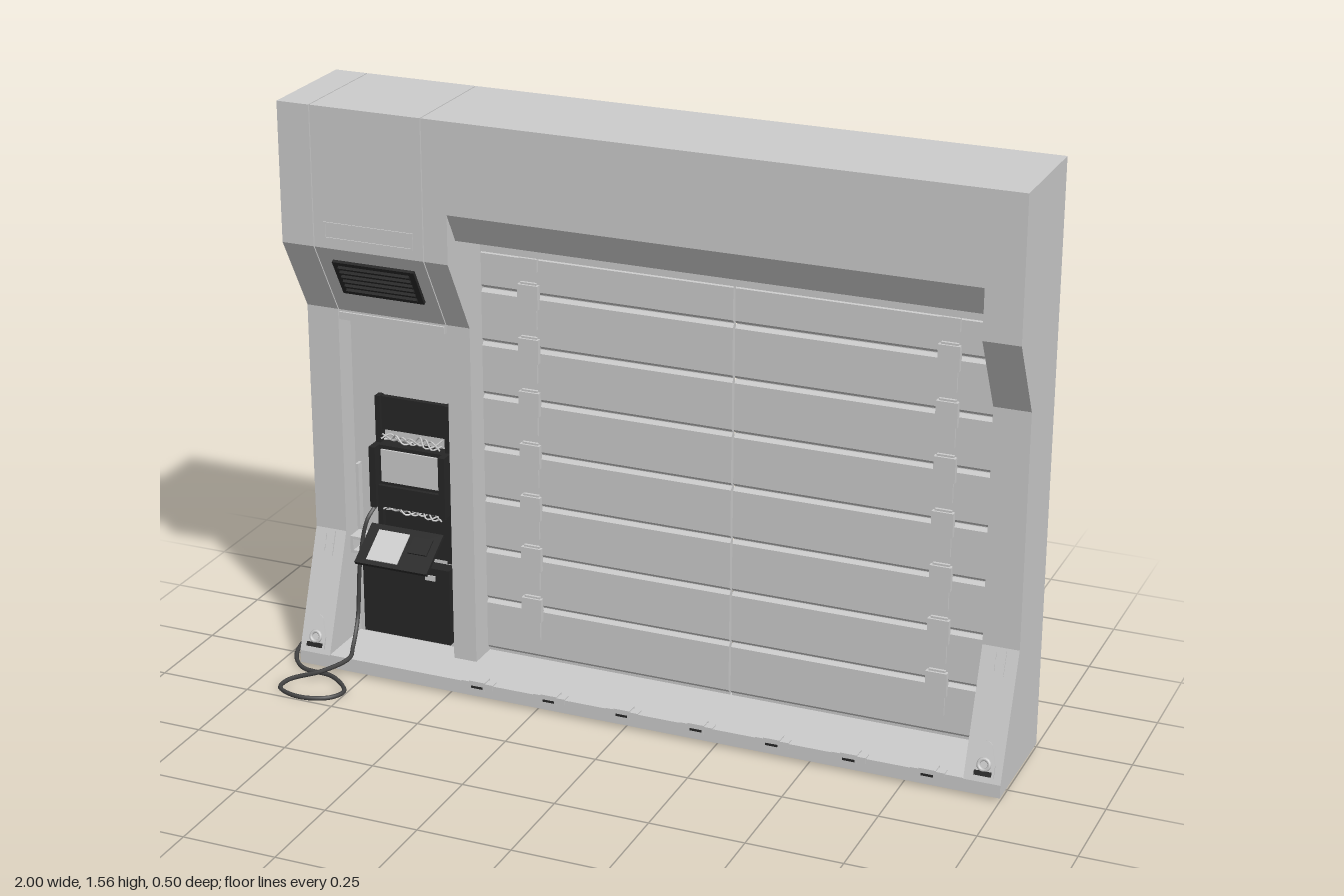
import * as THREE from 'three';

const grey = new THREE.MeshStandardMaterial({ color: 0xcccccc, flatShading: true });
const dark = new THREE.MeshStandardMaterial({ color: 0x262626, flatShading: true });
const smooth = new THREE.MeshStandardMaterial({ color: 0xcccccc });
const darkSmooth = new THREE.MeshStandardMaterial({ color: 0x444444 });

export function createModel() {
  const root = new THREE.Group();

  const add = (name, geometry, material = grey, parent = root) => {
    const mesh = new THREE.Mesh(geometry, material);
    mesh.name = name;
    parent.add(mesh);
    return mesh;
  };
  // Box given by its limits on each axis
  const box = (name, x0, x1, y0, y1, z0, z1, material = grey, parent = root) => {
    const m = add(name, new THREE.BoxGeometry(x1 - x0, y1 - y0, z1 - z0), material, parent);
    m.position.set((x0 + x1) / 2, (y0 + y1) / 2, (z0 + z1) / 2);
    return m;
  };
  // Side profile of [z, y] points extruded from x0 to x1
  const profile = (name, pts, x0, x1, material = grey, parent = root) => {
    const shape = new THREE.Shape(pts.map(p => new THREE.Vector2(...p)));
    const geo = new THREE.ExtrudeGeometry(shape, { depth: x1 - x0, bevelEnabled: false });
    geo.rotateY(-Math.PI / 2).translate(x1, 0, 0);
    return add(name, geo, material, parent);
  };
  const tube = (name, pts, r, material, segments = 40, parent = root) => {
    const curve = new THREE.CatmullRomCurve3(pts.map(p => new THREE.Vector3(...p)));
    return add(name, new THREE.TubeGeometry(curve, segments, r, 6), material, parent);
  };
  const group = (name, x, y, z, tilt = 0) => {
    const g = new THREE.Group();
    g.name = name;
    g.position.set(x, y, z);
    g.rotation.x = tilt;
    root.add(g);
    return g;
  };

  const back = -0.25, front = 0.065, mid = -0.05;
  const crown = [[front, 1.56], [front, 1.19], [mid, 0.985]];

  // Outer columns with the flared feet
  const column = [[back, 1.56], [back, 0.01], [front, 0.01], [front, 0.045], [mid, 0.36], [mid, 0.985], [front, 1.19], [front, 1.56]];
  profile('outerColumn', column, -0.94, -0.851);
  profile('outerColumn', column, 0.905, 1.0);

  // Inner column, terminal head and wall, lintel, sill
  profile('innerColumn', [[back, 1.56], [back, 0.045], [mid, 0.045], [mid, 0.985], [front, 1.19], [front, 1.56]], -0.54, -0.475);
  profile('terminalHead', [[back, 1.56], [back, 0.982], [-0.1, 0.982], [-0.1, 0.96], [mid, 0.96], ...crown.slice().reverse()], -0.848, -0.543);
  box('terminalLedge', -0.845, -0.545, 0.96, 0.98, -0.06, -0.044);
  box('terminalWall', -0.848, -0.543, 0.045, 0.978, back, -0.11);
  box('seamFiller', -0.86, -0.53, 0.03, 1.55, -0.24, -0.12);
  profile('lintel', [[back, 1.56], [back, 1.21], [-0.145, 1.21], [-0.145, 1.17], [-0.12, 1.17], [-0.12, 1.2],
    [-0.1, 1.205], [0.02, 1.24], [front, 1.32], [front, 1.56]], -0.475, 0.905);
  box('sill', -0.851, 0.905, 0.01, 0.047, back, front);

  // Double door built of bevelled slats over thin backing sheets
  const pitch = 0.145, leaves = [[-0.475, 0.212], [0.218, 0.905]];
  for (const [x0, x1] of leaves) {
    box('doorBacking', x0, x1, 0.047, 1.19, -0.142, -0.134);
    for (let i = 0; i < 8; i++) {
      const y0 = 0.055 + i * pitch, y1 = Math.min(y0 + pitch, 1.175);
      profile('doorSlat', [[-0.134, y0 + 0.002], [-0.129, y0 + 0.002], [-0.122, y0 + 0.01], [-0.122, y1 - 0.01],
        [-0.129, y1 - 0.002], [-0.134, y1 - 0.002]], x0, x1);
      // Perforated seam on the rear of the door
      const n = 16, step = (x1 - x0) / n;
      if (i > 0) for (let k = 0; k < n; k++) {
        box('seamStitch', x0 + k * step + 0.008, x0 + (k + 1) * step - 0.008, y0 - 0.002, y0 + 0.002, -0.143, -0.14, darkSmooth);
      }
    }
  }

  // Hinge plates bridging the slats
  for (const x of [-0.34, 0.772]) {
    for (let i = 0; i < 7; i++) {
      const y = 0.185 + i * pitch;
      box('hingePlate', x - 0.022, x + 0.022, y - 0.075, y + 0.05, -0.125, -0.114);
      box('hingeKnuckle', x - 0.028, x + 0.028, y - 0.02, y + 0.045, -0.125, -0.108);
    }
    box('hingePlate', x - 0.025, x + 0.025, 1.135, 1.17, -0.125, -0.112);
  }

  // Floor latches along the sill edge
  for (let i = 0; i < 7; i++) {
    const g = group('sillLatch', -0.417 + i * 0.205, 0.04, 0.055);
    box('latchBody', -0.022, 0.022, -0.012, 0.013, -0.02, 0.013, grey, g);
    for (const s of [-1, 1]) box('latchEar', s * 0.033 - 0.012, s * 0.033 + 0.012, -0.006, 0.01, -0.012, 0.012, grey, g);
    box('latchSlot', -0.016, 0.016, -0.006, 0.0, 0.01, 0.0145, dark, g);
  }

  // Anchor and slot fittings on the sloped feet
  const footTilt = -Math.atan2(0.115, 0.315);
  const slopeZ = y => front - (y - 0.045) * 0.115 / 0.315;
  for (const x of [-0.897, 0.953]) {
    const slot = group('footSlot', x, 0.325, slopeZ(0.325), footTilt);
    const plate = new THREE.Shape([[-0.016, -0.033], [0.016, -0.033], [0.016, 0.033], [-0.016, 0.033]].map(p => new THREE.Vector2(...p)));
    plate.holes.push(new THREE.Path([[-0.009, -0.024], [-0.009, 0.024], [0.009, 0.024], [0.009, -0.024]].map(p => new THREE.Vector2(...p))));
    add('slotFrame', new THREE.ExtrudeGeometry(plate, { depth: 0.004, bevelEnabled: false }), grey, slot);
    box('slotBar', -0.012, 0.012, -0.006, 0.006, 0, 0.005, grey, slot);

    const anchor = group('footAnchor', x, 0.1, slopeZ(0.1), footTilt);
    const hood = new THREE.Shape();
    hood.moveTo(-0.028, -0.045);
    hood.lineTo(0.028, -0.045);
    hood.lineTo(0.028, -0.012);
    hood.lineTo(0.015, 0.032);
    hood.absarc(0, 0.03, 0.015, 0, Math.PI, false);
    hood.lineTo(-0.028, -0.012);
    add('anchorHood', new THREE.ExtrudeGeometry(hood, { depth: 0.005, bevelEnabled: false, curveSegments: 8 }), grey, anchor);
    const ring = add('anchorRing', new THREE.TorusGeometry(0.014, 0.005, 6, 14), smooth, anchor);
    ring.position.set(0, -0.014, 0.006);
    box('anchorFoot', -0.022, 0.022, -0.042, -0.03, 0, 0.01, dark, anchor);
  }

  // Header slot and louvred vent above the terminal
  const rim = [[-0.82, -0.57, 1.255, 1.26], [-0.82, -0.57, 1.215, 1.22], [-0.82, -0.815, 1.22, 1.255], [-0.575, -0.57, 1.22, 1.255]];
  for (const r of rim) box('headerSlotRim', ...r, 0.06, 0.068);
  const vent = group('vent', -0.693, 1.103, 0.018, Math.atan2(0.115, 0.205));
  box('ventPanel', -0.115, 0.115, -0.058, 0.058, -0.004, 0.007, dark, vent);
  for (let i = 0; i < 6; i++) {
    const louvre = box('ventLouvre', -0.1, 0.1, -0.004, 0.004, 0.004, 0.012, dark, vent);
    louvre.position.y = -0.042 + i * 0.0168;
    louvre.rotation.x = 0.5;
  }

  // Broken terminal: upper plate, screen unit, rails
  box('upperPlate', -0.768, -0.565, 0.65, 0.742, -0.112, -0.095, dark);
  box('screenHousing', -0.77, -0.56, 0.44, 0.615, -0.112, -0.07, dark);
  box('screen', -0.748, -0.582, 0.515, 0.605, -0.075, -0.064);
  box('screenShelf', -0.765, -0.565, 0.45, 0.505, -0.075, -0.058, dark);
  for (const x of [-0.765, -0.564]) {
    box('sideRail', x - 0.007, x + 0.007, 0.3, 0.745, -0.112, -0.085, dark);
    box('railGuard', x - 0.009, x + 0.009, 0.445, 0.615, -0.09, -0.046, dark);
  }
  box('trayRecess', -0.76, -0.57, 0.3, 0.42, -0.112, -0.1, dark);

  // Drop-down tray with a keypad
  const tray = group('tray', -0.667, 0.36, 0.002, Math.atan2(0.07, 0.105));
  box('trayPlate', -0.105, 0.105, -0.005, 0.005, -0.063, 0.063, dark, tray);
  box('keypad', -0.075, 0.015, 0.004, 0.008, -0.045, 0.05, grey, tray);
  box('cardReader', 0.03, 0.085, 0.004, 0.009, -0.04, 0.01, dark, tray);

  // Lower cabinet
  box('lowerCabinet', -0.815, -0.56, 0.07, 0.285, -0.112, -0.07, dark);
  box('cabinetLabel', -0.63, -0.6, 0.25, 0.265, -0.072, -0.067);

  // Loose wires between the torn units
  for (const y of [0.632, 0.432]) for (let k = 0; k < 3; k++) {
    const pts = Array.from({ length: 9 }, (_, i) => [-0.75 + i * 0.021, y + 0.013 * Math.sin(i * 2.1 + k * 1.9), -0.085 + 0.012 * Math.cos(i * 1.7 + k)]);
    tube('looseWire', pts, 0.0025, smooth, 32);
  }

  // Cable rod and holder
  box('cableRod', -0.838, -0.83, 0.36, 0.54, -0.11, -0.09);
  for (const [x0, x1, y0, y1] of [[-0.845, -0.785, 0.335, 0.343], [-0.845, -0.785, 0.295, 0.303], [-0.845, -0.837, 0.303, 0.335], [-0.793, -0.785, 0.303, 0.335]]) {
    box('cableHolder', x0, x1, y0, y1, -0.11, -0.06);
  }

  // Cable hanging from the terminal and coiling over the ground
  tube('cable', [
    [-0.775, 0.44, -0.09], [-0.79, 0.4, -0.055], [-0.81, 0.28, -0.045], [-0.815, 0.12, -0.03], [-0.8, 0.065, 0.03],
    [-0.79, 0.052, 0.07], [-0.84, 0.03, 0.125], [-0.92, 0.008, 0.165], [-0.92, 0.007, 0.215], [-0.85, 0.007, 0.244],
    [-0.775, 0.007, 0.22], [-0.755, 0.007, 0.17], [-0.815, 0.014, 0.118], [-0.92, 0.008, 0.09], [-0.972, 0.012, 0.03],
    [-0.994, 0.018, -0.13], [-0.978, 0.016, -0.205], [-0.935, 0.018, -0.237],
  ], 0.006, darkSmooth, 140);

  return root;
}
